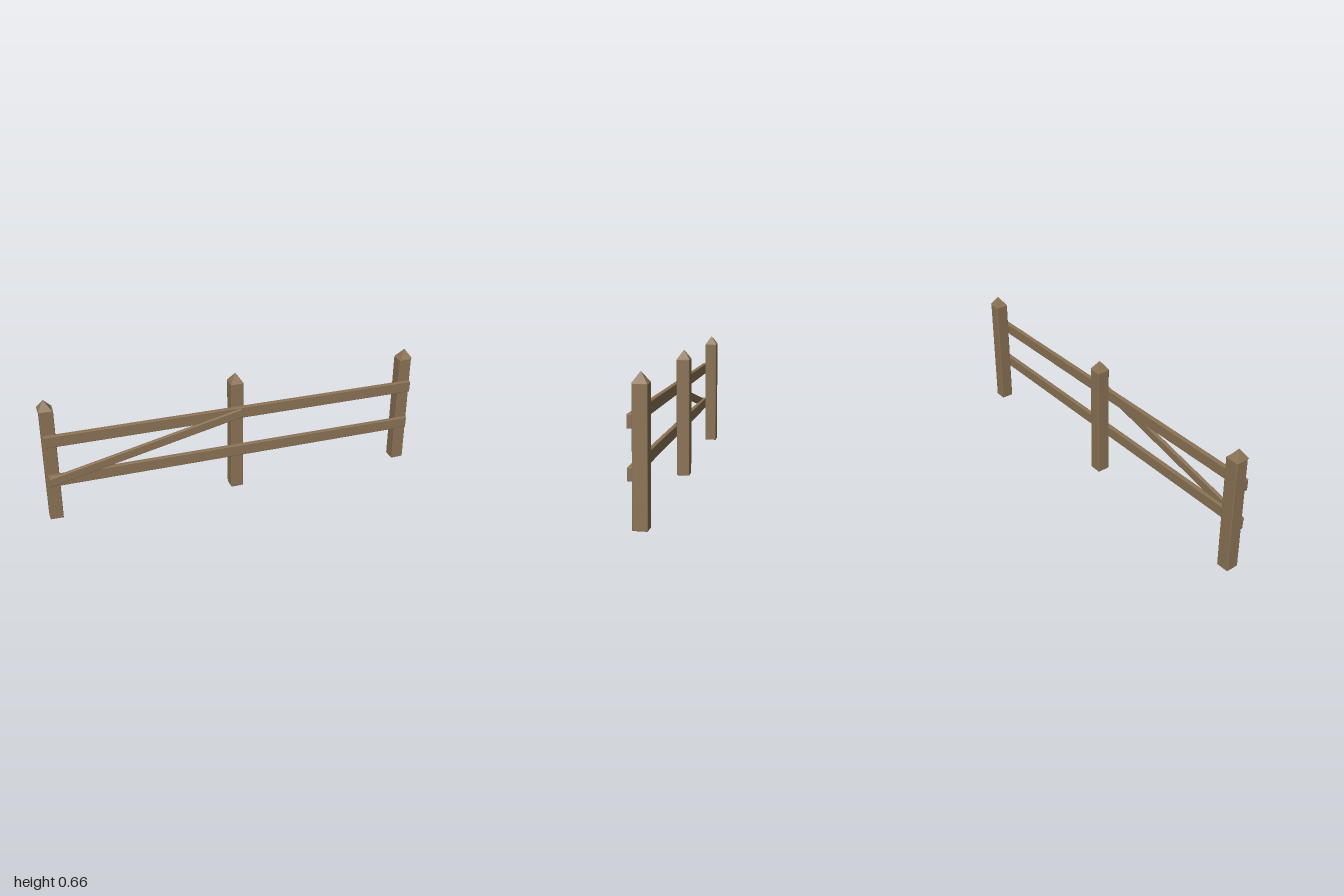
import * as THREE from 'three';
import { RoundedBoxGeometry } from 'three/addons/geometries/RoundedBoxGeometry.js';

export function createModel() {
  const fence = new THREE.Group();
  fence.name = 'fence';
  const wood = new THREE.MeshStandardMaterial({ color: 0x8b7355 });
  wood.name = 'weathered wood';

  // A timber with slightly softened edges, turned about z
  function timber(name, [w, h, d], [x, y, z], angle = 0) {
    const mesh = new THREE.Mesh(new RoundedBoxGeometry(w, h, d, 2, 0.004), wood);
    mesh.name = name;
    mesh.position.set(x, y, z);
    mesh.rotation.z = angle;
    fence.add(mesh);
  }

  // Posts: the outer two lean slightly inwards, each with an upright pyramid cap
  const width = 0.067, postHeight = 0.613, capHeight = 0.048, postZ = -0.016;
  const capGeometry = new THREE.ConeGeometry(width * Math.SQRT1_2, capHeight, 4, 1).toNonIndexed();
  capGeometry.rotateY(Math.PI / 4);
  capGeometry.computeVertexNormals();
  [['rightPost', -0.96], ['middlePost', 0], ['leftPost', 0.96]].forEach(([name, x]) => {
    timber(name, [width, postHeight, width], [x, postHeight / 2, postZ], -Math.sign(-x) * 0.019);
    const cap = new THREE.Mesh(capGeometry, wood);
    cap.name = name + 'Cap';
    cap.position.set(x, postHeight + capHeight / 2, postZ);
    fence.add(cap);
  });

  // Two long rails on the front of the posts
  timber('lowerRail', [1.97, 0.061, 0.023], [0, 0.236, 0.029]);
  timber('upperRail', [1.97, 0.061, 0.023], [0, 0.457, 0.029]);

  // Diagonal brace across one bay
  timber('diagonalBrace', [1.02, 0.046, 0.018], [-0.478, 0.349, 0.043], 0.222);

  return fence;
}
